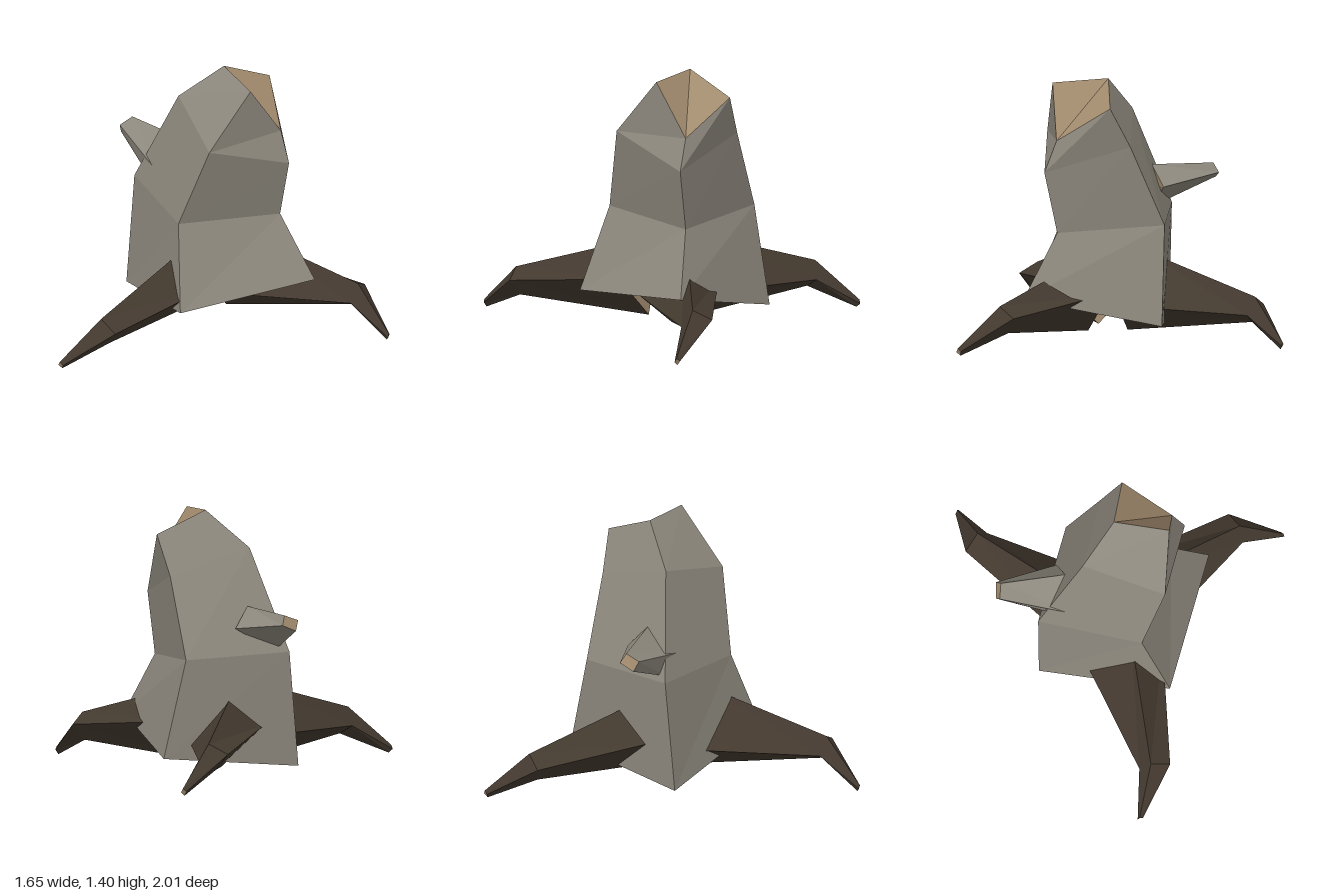
import * as THREE from 'three';

const bark = new THREE.MeshStandardMaterial({ color: 0x8d887d });
bark.name = 'grey bark';
const rootBark = new THREE.MeshStandardMaterial({ color: 0x43392f });
rootBark.name = 'dark root bark';
const wood = new THREE.MeshStandardMaterial({ color: 0xa28b6e });
wood.name = 'cut wood';

// Faceted loft through four-cornered rings, listed counter-clockwise seen from
// the end. Group 0 is the sides, group 1 the two cut ends.
function loft(name, rings, sideMaterial) {
  const pos = [];
  const quad = (a, b, c, d) => [a, b, c, a, c, d].forEach((p) => pos.push(...p));
  for (let r = 0; r < rings.length - 1; r++) {
    const [lo, hi] = [rings[r], rings[r + 1]];
    for (let i = 0; i < 4; i++) {
      const j = (i + 1) % 4;
      quad(lo[i], lo[j], hi[j], hi[i]);
    }
  }
  const sideCount = pos.length / 3;
  quad(...rings[rings.length - 1]);
  quad(...[...rings[0]].reverse());

  const geometry = new THREE.BufferGeometry();
  geometry.setAttribute('position', new THREE.Float32BufferAttribute(pos, 3));
  geometry.computeVertexNormals();
  geometry.addGroup(0, sideCount, 0);
  geometry.addGroup(sideCount, 12, 1);
  const mesh = new THREE.Mesh(geometry, [sideMaterial, wood]);
  mesh.name = name;
  return mesh;
}

export function createModel() {
  const model = new THREE.Group();
  model.name = 'treeStump';

  // Trunk: flared foot, waist, shoulder and slanted cut top (left, back, right, front)
  model.add(loft('trunk', [
    [[0.38, 0.26, -0.04], [-0.18, 0.11, -0.525], [-0.7, 0.05, 0.0], [-0.175, 0.195, 0.49]],
    [[0.165, 0.6, -0.07], [-0.27, 0.64, -0.445], [-0.675, 0.67, -0.05], [-0.255, 0.64, 0.33]],
    [[0.23, 0.93, -0.04], [-0.11, 1.07, -0.35], [-0.41, 1.21, -0.03], [-0.09, 1.085, 0.295]],
    [[0.17, 1.1, -0.07], [0.0, 1.285, -0.31], [-0.175, 1.405, -0.1], [0.06, 1.385, 0.085]],
  ], bark));

  // Broken branch on the right side (top, back, bottom, front)
  model.add(loft('branchStub', [
    [[-0.46, 0.91, -0.13], [-0.45, 0.8, -0.235], [-0.56, 0.66, -0.03], [-0.515, 0.78, 0.04]],
    [[-0.78, 0.9, -0.265], [-0.79, 0.85, -0.3], [-0.83, 0.815, -0.23], [-0.825, 0.87, -0.2]],
  ], bark));

  // Three bent roots around a shared pivot (ridge, front, bottom, back)
  const pivotX = -0.25;
  const rootRings = [
    [[0.2, 0.45, -0.08], [0.17, 0.19, 0.18], [0.13, 0.03, 0.0], [0.2, 0.27, -0.25]],
    [[0.855, 0.255, -0.1], [0.84, 0.16, -0.04], [0.82, 0.11, -0.13], [0.85, 0.2, -0.205]],
    [[1.075, 0.04, -0.01], [1.075, 0.02, 0.0], [1.06, 0.0, -0.015], [1.07, 0.025, -0.03]],
  ];
  [['leftRoot', 0], ['frontRoot', -113], ['backRoot', 109]].forEach(([name, degrees]) => {
    const root = loft(name, rootRings, rootBark);
    root.position.x = pivotX;
    root.rotation.y = THREE.MathUtils.degToRad(degrees);
    model.add(root);
  });

  return model;
}
